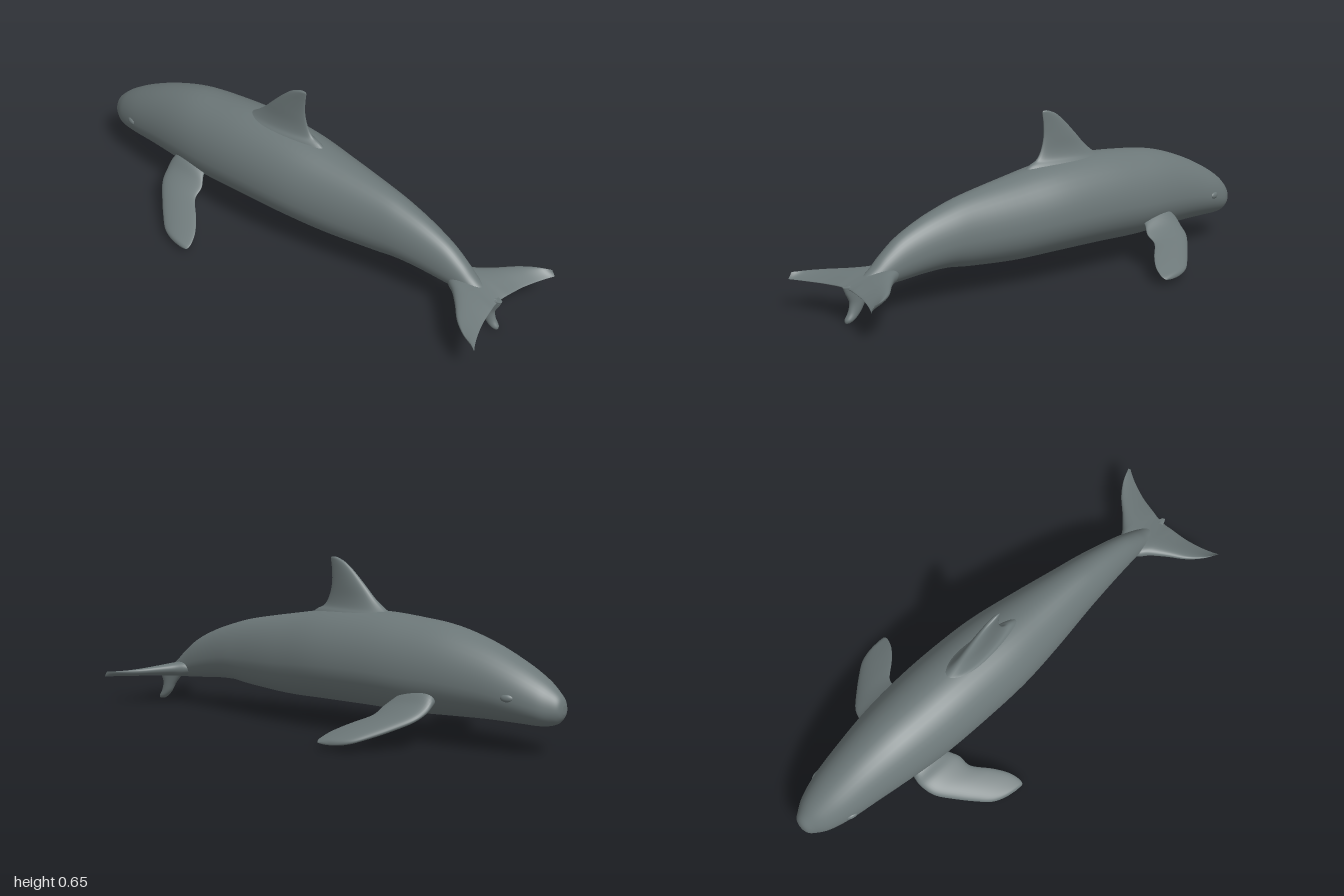
import * as THREE from 'three';

const SIDES = 40;

// Catmull-Rom interpolation of rows of section sizes
function refine(rows, per) {
  const out = [];
  const at = (i) => rows[Math.min(rows.length - 1, Math.max(0, i))];
  for (let i = 0; i < rows.length - 1; i++) {
    const [a, b, c, d] = [at(i - 1), at(i), at(i + 1), at(i + 2)];
    for (let s = 0; s < per; s++) {
      const t = s / per;
      out.push(b.map((v, k) => v + 0.5 * t * (c[k] - a[k]
        + t * (2 * a[k] - 5 * v + 4 * c[k] - d[k] + t * (3 * (v - c[k]) + d[k] - a[k])))));
    }
  }
  out.push(rows[rows.length - 1]);
  return out;
}

// Smooth skin over sections; ring(row, cos, sin) gives one point [x, y, z]
function loft(rows, ring, per = 5) {
  const pos = [], idx = [];
  const secs = refine(rows, per), n = secs.length;
  for (const row of secs) {
    for (let j = 0; j < SIDES; j++) {
      const a = (j / SIDES) * Math.PI * 2;
      pos.push(...ring(row, Math.cos(a), Math.sin(a)));
    }
  }
  for (let i = 0; i < n - 1; i++) {
    for (let j = 0; j < SIDES; j++) {
      const k = (j + 1) % SIDES;
      const a = i * SIDES + j, b = i * SIDES + k, c = a + SIDES, d = b + SIDES;
      idx.push(a, c, b, b, c, d);
    }
  }
  // close both ends with a fan around the section centre
  for (const end of [0, n - 1]) {
    const p = ring(secs[end], 1, 0), q = ring(secs[end], -1, 0);
    const centre = pos.length / 3;
    pos.push(...p.map((v, k) => (v + q[k]) / 2));
    for (let j = 0; j < SIDES; j++) {
      const a = end * SIDES + j, b = end * SIDES + ((j + 1) % SIDES);
      idx.push(...(end ? [centre, b, a] : [centre, a, b]));
    }
  }
  // turn the faces outward if the enclosed volume is negative
  const P = (i) => new THREE.Vector3().fromArray(pos, i * 3);
  let volume = 0;
  for (let i = 0; i < idx.length; i += 3) {
    volume += P(idx[i]).dot(P(idx[i + 1]).cross(P(idx[i + 2])));
  }
  if (volume < 0) idx.reverse();
  const g = new THREE.BufferGeometry();
  g.setAttribute('position', new THREE.Float32BufferAttribute(pos, 3));
  g.setIndex(idx);
  g.computeVertexNormals();
  return g;
}

export function createModel() {
  const group = new THREE.Group();
  const skin = new THREE.MeshStandardMaterial({ color: 0x6c7778 });
  skin.name = 'slate grey skin';
  const add = (name, geometry) => {
    const mesh = new THREE.Mesh(geometry, skin);
    mesh.name = name;
    group.add(mesh);
    return mesh;
  };

  // body: x, top, bottom, half width
  const body = [
    [-1.0, 0.185, 0.155, 0.012], [-0.992, 0.21, 0.135, 0.034], [-0.97, 0.235, 0.115, 0.053],
    [-0.92, 0.275, 0.104, 0.083], [-0.83, 0.327, 0.105, 0.11], [-0.7, 0.385, 0.105, 0.132],
    [-0.55, 0.43, 0.1, 0.154], [-0.4, 0.449, 0.095, 0.168], [-0.22, 0.46, 0.099, 0.172],
    [0, 0.45, 0.1, 0.165], [0.2, 0.42, 0.1, 0.138], [0.4, 0.385, 0.114, 0.104],
    [0.5, 0.359, 0.126, 0.089], [0.6, 0.325, 0.124, 0.073], [0.7, 0.278, 0.115, 0.057],
    [0.77, 0.226, 0.11, 0.045], [0.82, 0.18, 0.108, 0.036], [0.87, 0.148, 0.11, 0.026],
    [0.93, 0.133, 0.117, 0.008],
  ];
  add('body', loft(body, ([x, top, bottom, w], c, s) => {
    const mid = bottom + (top - bottom) * 0.43;
    return [x, mid + s * (s > 0 ? top - mid : mid - bottom), c * w];
  }));

  // dorsal fin: height, front x, back x, half thickness
  const dorsal = [
    [0.41, -0.33, 0.14, 0.07], [0.445, -0.27, 0.09, 0.05], [0.465, -0.235, 0.052, 0.035],
    [0.5, -0.19, 0.029, 0.025], [0.55, -0.141, 0.016, 0.019], [0.6, -0.09, 0.016, 0.013],
    [0.632, -0.05, 0.02, 0.009], [0.647, -0.018, 0.021, 0.006], [0.652, 0.0, 0.016, 0.002],
  ];
  add('dorsalFin', loft(dorsal, ([y, f, b, t], c, s) =>
    [(f + b) / 2 + c * (b - f) / 2, y, s * t * (1 - 0.3 * c)]));

  // flippers: distance out, front x, back x, height, half thickness
  const flipper = [
    [0.1, -0.54, -0.4, 0.185, 0.035], [0.15, -0.553, -0.385, 0.165, 0.032],
    [0.19, -0.55, -0.36, 0.137, 0.022], [0.24, -0.53, -0.35, 0.112, 0.018],
    [0.3, -0.475, -0.29, 0.083, 0.017], [0.35, -0.423, -0.25, 0.06, 0.015],
    [0.39, -0.375, -0.233, 0.042, 0.012], [0.41, -0.325, -0.232, 0.033, 0.009],
    [0.418, -0.275, -0.238, 0.028, 0.003],
  ];
  for (const [name, side] of [['nearFlipper', 1], ['farFlipper', -1]]) {
    add(name, loft(flipper, ([z, f, b, y, t], c, s) =>
      [(f + b) / 2 + c * (b - f) / 2, y + s * t * (1 - 0.4 * c), side * z]));
  }

  // tail flukes: distance out, front x, back x, height, half thickness
  const half = [
    [0.02, 0.72, 0.925, 0.14, 0.027], [0.05, 0.735, 0.93, 0.14, 0.025],
    [0.08, 0.775, 0.935, 0.138, 0.021], [0.13, 0.823, 0.945, 0.135, 0.016],
    [0.19, 0.874, 0.965, 0.132, 0.011], [0.235, 0.93, 0.985, 0.131, 0.006],
    [0.262, 0.985, 1.0, 0.131, 0.001],
  ];
  const flukes = [...half.map(([z, ...r]) => [-z, ...r]).reverse(), ...half];
  add('tailFlukes', loft(flukes, ([z, f, b, y, t], c, s) =>
    [(f + b) / 2 + c * (b - f) / 2, y - 0.012 * c + s * t * (1 - 0.6 * c), z]));

  // small keel hanging under the tail: height, front x, back x, half thickness
  const keel = [
    [0.135, 0.77, 0.94, 0.02], [0.11, 0.81, 0.93, 0.018], [0.075, 0.845, 0.914, 0.017],
    [0.04, 0.868, 0.92, 0.017], [0.015, 0.893, 0.934, 0.016], [0.003, 0.912, 0.934, 0.009],
  ];
  add('tailKeel', loft(keel, ([y, f, b, t], c, s) =>
    [(f + b) / 2 + c * (b - f) / 2, y, s * t]));

  // eyes: low swellings on the cheeks
  for (const side of [1, -1]) {
    const eye = add(side > 0 ? 'nearEye' : 'farEye', new THREE.SphereGeometry(1, 20, 14));
    eye.scale.set(0.024, 0.014, 0.01);
    eye.position.set(-0.83, 0.208, side * 0.106);
    eye.rotation.y = side * -0.25;
  }
  return group;
}
